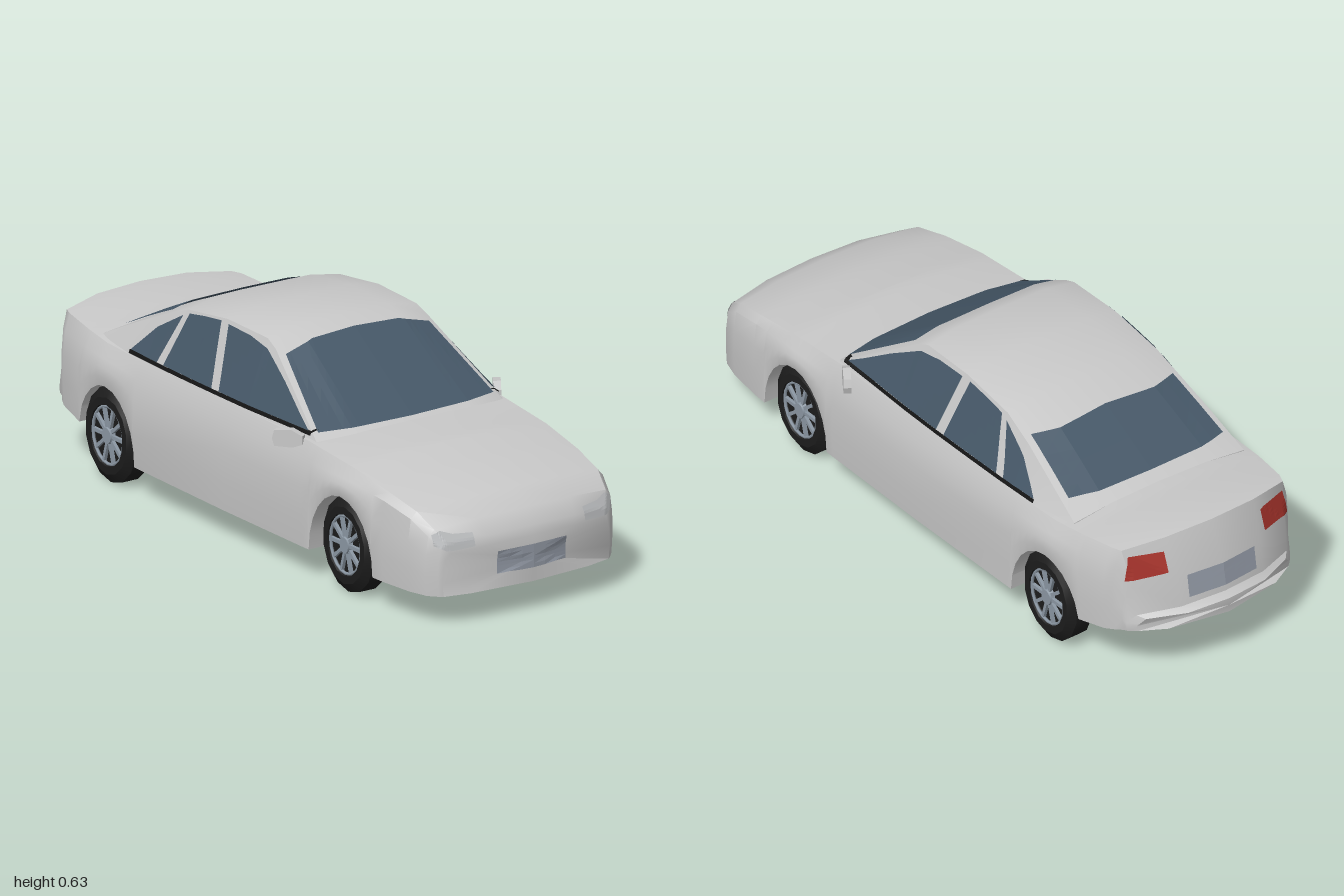
import * as THREE from 'three';
import { toCreasedNormals } from 'three/addons/utils/BufferGeometryUtils.js';

const mat = (name, color, side = THREE.FrontSide) => {
  const m = new THREE.MeshStandardMaterial({ color, side });
  m.name = name;
  return m;
};
const paint = mat('silver paint', 0xc8c8c8);
const glass = mat('tinted glass', 0x465868, THREE.DoubleSide);
const trim = mat('black trim', 0x141414, THREE.DoubleSide);
const rubber = mat('tyre rubber', 0x1c1c1c);
const metal = mat('rim metal', 0x8c98a4);
const red = mat('tail lamp red', 0xa8342c, THREE.DoubleSide);
const plateGrey = mat('plate grey', 0x959ca8, THREE.DoubleSide);
const lampGrey = mat('lamp grey', 0xb9bbbd, THREE.DoubleSide);

const REAR_AXLE = -0.595, FRONT_AXLE = 0.562;

// Skin closed rings of points, ordered by rising x, and cap both ends
function loft(name, rings) {
  const pos = [], n = rings[0].length;
  const tri = (a, b, c) => pos.push(...a, ...b, ...c);
  for (let i = 0; i < rings.length - 1; i++) {
    for (let j = 0; j < n; j++) {
      const k = (j + 1) % n, A = rings[i], B = rings[i + 1];
      tri(A[j], B[j], B[k]);
      tri(A[j], B[k], A[k]);
    }
  }
  [rings[0], rings[rings.length - 1]].forEach((r, end) => {
    const xs = r.map((p) => p[0]), ys = r.map((p) => p[1]);
    const x = end ? Math.max(...xs) : Math.min(...xs);
    const c = [x, (Math.min(...ys) + Math.max(...ys)) / 2, 0];
    r.forEach((p, j) => (end ? tri(c, r[(j + 1) % n], p) : tri(c, p, r[(j + 1) % n])));
  });
  const g = new THREE.BufferGeometry();
  g.setAttribute('position', new THREE.Float32BufferAttribute(pos, 3));
  const mesh = new THREE.Mesh(toCreasedNormals(g, 0.6), paint);
  mesh.name = name;
  return mesh;
}

// Mirror a half section [z, y] into a full ring; pull bends its sides along x
function ring(x, half, pull) {
  const w = Math.max(...half.map((p) => p[0]));
  const pts = half.map(([z, y]) => [x - pull * (z / w) ** 2.4, y, z]);
  const other = pts.filter((p) => p[2] > 0).reverse().map(([a, b, c]) => [a, b, -c]);
  return [...pts, ...other];
}

// Body stations: x, half width, floor y, shoulder y, top edge y, top y, pull
const STATIONS = [
  [-1.0, 0.27, 0.175, 0.2, 0.215, 0.22, -0.08],
  [-0.98, 0.29, 0.172, 0.21, 0.225, 0.235, -0.08],
  [-0.965, 0.295, 0.17, 0.28, 0.32, 0.33, -0.08],
  [-0.915, 0.312, 0.165, 0.38, 0.43, 0.445, -0.055],
  [-0.855, 0.325, 0.16, 0.38, 0.43, 0.447, -0.02],
  [-0.72, 0.345, 0.14, 0.375, 0.42, 0.437, 0],
  [-0.62, 0.354, 0.12, 0.37, 0.41, 0.437, 0],
  [-0.45, 0.36, 0.092, 0.36, 0.405, 0.41, 0],
  [0, 0.366, 0.09, 0.35, 0.405, 0.405, 0],
  [0.38, 0.366, 0.09, 0.35, 0.4, 0.41, 0],
  [0.6, 0.363, 0.09, 0.345, 0.38, 0.4, 0],
  [0.76, 0.356, 0.09, 0.33, 0.352, 0.372, 0],
  [0.89, 0.343, 0.09, 0.305, 0.325, 0.34, 0.02],
  [0.96, 0.325, 0.09, 0.265, 0.285, 0.3, 0.03],
  [0.992, 0.3, 0.09, 0.23, 0.245, 0.255, 0.035],
  [1.0, 0.29, 0.09, 0.2, 0.218, 0.228, 0.035],
];

function stationAt(x) {
  let i = 0;
  while (i < STATIONS.length - 2 && STATIONS[i + 1][0] < x) i++;
  const a = STATIONS[i], b = STATIONS[i + 1], t = (x - a[0]) / (b[0] - a[0]);
  return a.map((v, k) => v + (b[k] - v) * t);
}

// Lower body, with wheel wells raised from the floor
function makeBody() {
  const R = 0.15, xs = STATIONS.map((s) => s[0]);
  for (const c of [REAR_AXLE, FRONT_AXLE]) {
    for (let i = 0; i <= 12; i++) xs.push(c + R * Math.cos((i / 12) * Math.PI));
  }
  xs.sort((a, b) => a - b);
  return loft('body', xs.map((x) => {
    const [, w, floor, shoulder, edge, top, pull] = stationAt(x);
    let sill = floor;
    for (const c of [REAR_AXLE, FRONT_AXLE]) {
      const u = (x - c) / R;
      if (Math.abs(u) < 1) sill = Math.max(sill, 0.09 + 0.2 * Math.sqrt(1 - u * u));
    }
    const inner = Math.min(0.24, w * 0.7), h = shoulder - sill;
    return ring(x, [[0, floor], [inner, floor], [inner, sill], [w * 0.985, sill],
      [w, sill + h * 0.35], [w * 0.995, sill + h * 0.7], [w * 0.97, shoulder],
      [w * 0.915, edge], [w * 0.5, top - 0.003], [0, top]], pull);
  }));
}

// Cabin shell rows: x, top y, roof half width, belt half width, edge drop, pull
function makeCabin() {
  const rows = [
    [-0.67, 0.435, 0.3, 0.312, 0.015, 0], [-0.53, 0.507, 0.285, 0.325, 0.018, 0],
    [-0.42, 0.56, 0.272, 0.331, 0.02, 0], [-0.31, 0.605, 0.263, 0.333, 0.021, 0],
    [-0.12, 0.63, 0.261, 0.336, 0.021, 0], [0.07, 0.626, 0.258, 0.336, 0.021, 0],
    [0.12, 0.607, 0.262, 0.335, 0.021, 0.01], [0.43, 0.4, 0.325, 0.333, 0.01, 0.02],
  ];
  return loft('cabin', rows.map(([x, y, w, belt, drop, pull]) =>
    ring(x, [[0, 0.385], [belt, Math.min(0.4, y - drop - 0.005)], [w, y - drop],
      [w * 0.62, y - 0.002], [0, y]], pull)));
}

// Thin panel laid on a surface. Columns [a0, b0, a1, b1] run bottom to top;
// a is the sideways axis (x for 'z' casts, z for 'x' casts) and b is height.
function panel(name, target, axis, sign, columns, material, lift = 0.005) {
  const ray = new THREE.Raycaster(), NU = 6, NV = 6, grid = [], pos = [];
  const dir = axis === 'x' ? new THREE.Vector3(-sign, 0, 0) : new THREE.Vector3(0, 0, -sign);
  const cast = (a, b) => {
    const from = axis === 'x' ? new THREE.Vector3(3 * sign, b, a) : new THREE.Vector3(a, b, 3 * sign);
    ray.set(from, dir);
    const hit = ray.intersectObject(target)[0];
    return hit ? hit.point.addScaledVector(hit.face.normal, lift).toArray() : null;
  };
  for (let c = 0; c < columns.length - 1; c++) {
    for (let i = c ? 1 : 0; i <= NU; i++) {
      const [a0, b0, a1, b1] = columns[c].map((v, k) => v + (columns[c + 1][k] - v) * (i / NU));
      const col = [];
      for (let j = 0; j <= NV; j++) col.push(cast(a0 + (a1 - a0) * (j / NV), b0 + (b1 - b0) * (j / NV)));
      grid.push(col);
    }
  }
  const flip = axis === 'x' ? sign > 0 : sign < 0;
  for (let i = 0; i < grid.length - 1; i++) {
    for (let j = 0; j < NV; j++) {
      const q = [grid[i][j], grid[i + 1][j], grid[i + 1][j + 1], grid[i][j + 1]];
      if (q.includes(null)) continue;
      if (flip) q.reverse();
      pos.push(...q[0], ...q[1], ...q[2], ...q[0], ...q[2], ...q[3]);
    }
  }
  const g = new THREE.BufferGeometry();
  g.setAttribute('position', new THREE.Float32BufferAttribute(pos, 3));
  g.computeVertexNormals();
  const mesh = new THREE.Mesh(g, material);
  mesh.name = name;
  return mesh;
}

// Wheel: chamfered tyre, dark dish, spokes and hub; outer face towards +z
function makeWheel(name) {
  const wheel = new THREE.Group();
  wheel.name = name;
  const add = (part, g, m) => {
    const mesh = new THREE.Mesh(g, m);
    mesh.name = part;
    wheel.add(mesh);
    return mesh;
  };
  const profile = [[0, -0.042], [0.13, -0.042], [0.142, -0.03], [0.142, 0.025], [0.115, 0.042],
    [0.092, 0.042], [0.088, 0.026], [0, 0.026]].map(([r, y]) => new THREE.Vector2(r, y));
  add('tyre', toCreasedNormals(new THREE.LatheGeometry(profile, 14).rotateX(Math.PI / 2), 0.5), rubber);
  add('rimRing', new THREE.TorusGeometry(0.086, 0.005, 6, 20).translate(0, 0, 0.034), metal);
  for (let i = 0; i < 10; i++) {
    const spoke = add('spoke', new THREE.BoxGeometry(0.068, 0.011, 0.01).translate(0.05, 0, 0.032), metal);
    spoke.rotation.z = (i / 10) * Math.PI * 2;
  }
  add('hub', new THREE.CylinderGeometry(0.024, 0.028, 0.016, 12).rotateX(Math.PI / 2).translate(0, 0, 0.034), metal);
  wheel.scale.x = 0.87;
  return wheel;
}

// Door mirror on the +z side
function makeMirror() {
  const outline = [[0, 0.385], [0.03, 0.373], [0.085, 0.372], [0.092, 0.395], [0.085, 0.42], [0.035, 0.426], [0, 0.41]];
  const shape = new THREE.Shape(outline.map(([x, y]) => new THREE.Vector2(x, y)));
  const mesh = new THREE.Mesh(new THREE.ExtrudeGeometry(shape, { depth: 0.022, bevelEnabled: false }), paint);
  mesh.name = 'doorMirror';
  mesh.position.set(0.36, 0, 0.345);
  mesh.rotation.y = Math.PI + 0.59;
  return mesh;
}

export function createModel() {
  const car = new THREE.Group();
  car.name = 'sedan';
  const body = makeBody(), cabin = makeCabin();
  car.add(body, cabin);

  // Front and rear glass
  car.add(panel('windscreen', cabin, 'x', 1, [[-0.303, 0.415, -0.247, 0.572], [-0.15, 0.415, -0.15, 0.597],
    [0, 0.415, 0, 0.603], [0.15, 0.415, 0.15, 0.597], [0.303, 0.415, 0.247, 0.572]], glass));
  car.add(panel('rearWindow', cabin, 'x', -1, [[-0.272, 0.455, -0.25, 0.552], [0, 0.455, 0, 0.562],
    [0.272, 0.455, 0.25, 0.552]], glass));

  for (const s of [1, -1]) {
    // Side glass and belt trim
    const side = s > 0 ? 'left' : 'right';
    car.add(panel(side + 'FrontDoorWindow', cabin, 'z', s, [[-0.065, 0.42, -0.105, 0.598], [0.0, 0.42, 0.0, 0.594],
      [0.09, 0.42, 0.085, 0.58], [0.2, 0.42, 0.2, 0.516], [0.3, 0.42, 0.3, 0.453], [0.355, 0.42, 0.355, 0.421]], glass));
    car.add(panel(side + 'RearDoorWindow', cabin, 'z', s, [[-0.34, 0.42, -0.292, 0.577], [-0.22, 0.42, -0.22, 0.589],
      [-0.1, 0.42, -0.14, 0.599]], glass));
    car.add(panel(side + 'QuarterWindow', cabin, 'z', s, [[-0.505, 0.42, -0.505, 0.422], [-0.42, 0.42, -0.42, 0.505],
      [-0.372, 0.42, -0.318, 0.566]], glass));
    car.add(panel(side + 'BeltTrim', cabin, 'z', s, [[-0.51, 0.409, -0.51, 0.42], [0.37, 0.409, 0.37, 0.42]], trim, 0.006));

    // Lamps
    car.add(panel(side + 'Headlamp', body, 'x', 1, [[0.19, 0.228, 0.19, 0.265], [0.25, 0.224, 0.25, 0.268],
      [0.275, 0.224, 0.285, 0.28], [0.305, 0.24, 0.308, 0.27]].map(([a, b, c, d]) => [a * s, b, c * s, d]), lampGrey, 0.003));
    car.add(panel(side + 'TailLamp', body, 'x', -1, [[0.17, 0.345, 0.17, 0.405], [0.285, 0.335, 0.272, 0.41]]
      .map(([a, b, c, d]) => [a * s, b, c * s, d]), red));

    // Mirrors and wheels
    const mirror = new THREE.Group();
    mirror.name = side + 'Mirror';
    mirror.add(makeMirror());
    mirror.scale.z = s;
    car.add(mirror);
    for (const [end, x] of [['Front', FRONT_AXLE], ['Rear', REAR_AXLE]]) {
      const wheel = makeWheel(side + end + 'Wheel');
      wheel.position.set(x, 0.142, 0.303 * s);
      if (s < 0) wheel.rotation.y = Math.PI;
      car.add(wheel);
    }
  }

  // Blank number plates
  car.add(panel('frontPlate', body, 'x', 1, [[-0.118, 0.133, -0.118, 0.203], [0.118, 0.133, 0.118, 0.203]], plateGrey));
  car.add(panel('rearPlate', body, 'x', -1, [[-0.118, 0.255, -0.118, 0.325], [0.118, 0.255, 0.118, 0.325]], plateGrey));
  return car;
}
